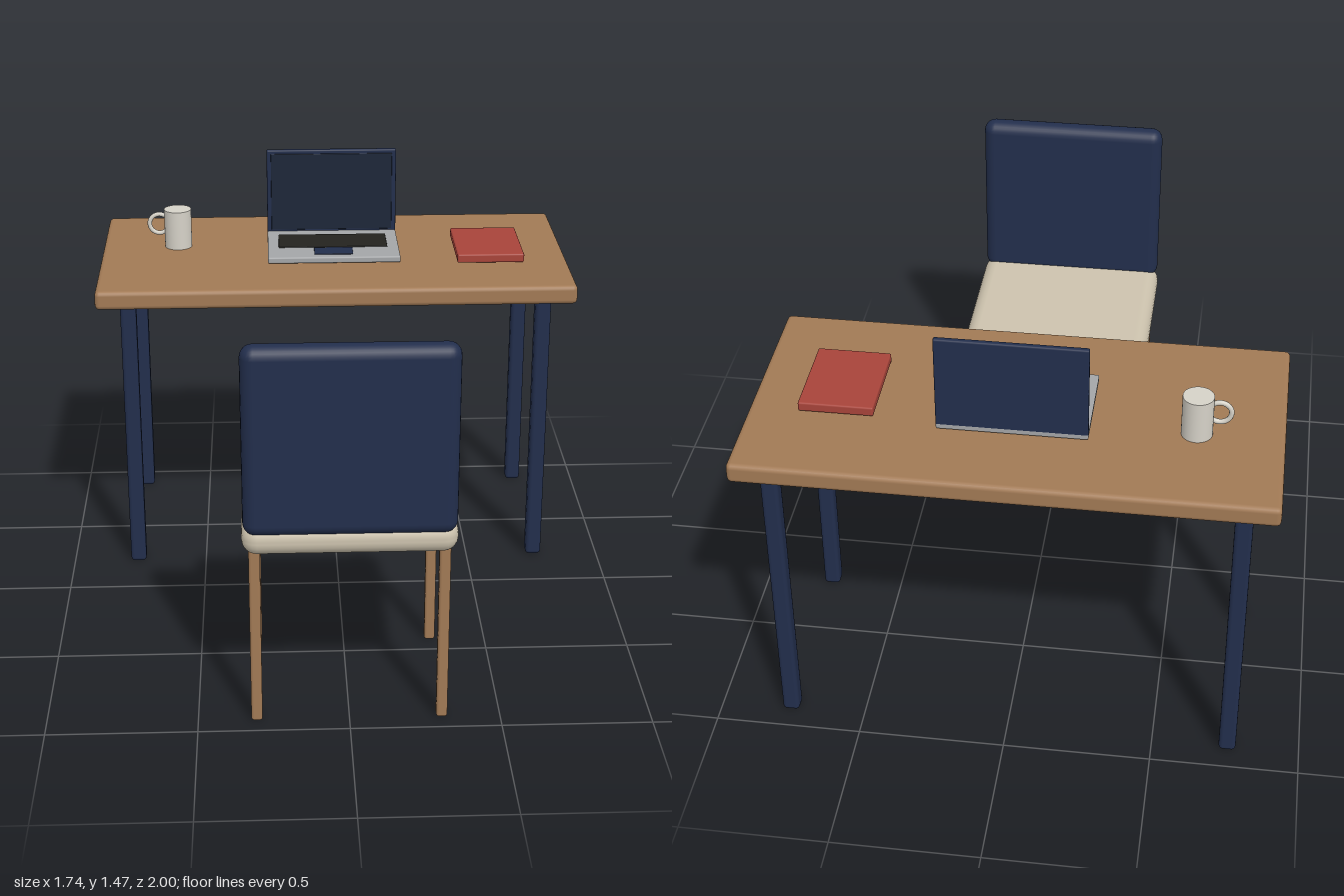
import * as THREE from 'three';
import { RoundedBoxGeometry } from 'three/addons/geometries/RoundedBoxGeometry.js';

const paint = (color) => {
  const m = new THREE.MeshStandardMaterial();
  m.color.set(color);
  return m;
};

export function createModel() {
  const model = new THREE.Group();
  const wood = paint(0xa27a55), navy = paint(0x222e4c), cream = paint(0xcdc3ae);
  const red = paint(0xa8443a), silver = paint(0xa4a6a8), black = paint(0x24231f);
  const white = paint(0xd6d2c8), glass = paint(0x1c2638);

  const group = (name) => {
    const g = new THREE.Group();
    g.name = name;
    model.add(g);
    return g;
  };
  const add = (parent, name, geometry, material, x, y, z) => {
    const mesh = new THREE.Mesh(geometry, material);
    mesh.name = name;
    mesh.position.set(x, y, z);
    parent.add(mesh);
    return mesh;
  };
  // Rounded block given by its extents on each axis
  const block = (parent, name, material, [x0, x1], [y0, y1], [z0, z1], radius, segments = 2) =>
    add(parent, name, new RoundedBoxGeometry(x1 - x0, y1 - y0, z1 - z0, segments, radius),
      material, (x0 + x1) / 2, (y0 + y1) / 2, (z0 + z1) / 2);
  // Four square legs, mirrored left to right
  const legs = (parent, name, material, x, zs, height, width, radius) => {
    const h = width / 2;
    for (const side of [-1, 1]) for (const z of zs)
      block(parent, name, material, [side * x - h, side * x + h], [0, height], [z - h, z + h], radius);
  };

  // Desk
  const desk = group('desk');
  block(desk, 'deskTop', wood, [-0.87, 0.87], [1.05, 1.12], [-1, -0.13], 0.017);
  legs(desk, 'deskLeg', navy, 0.757, [-0.228, -0.898], 1.052, 0.058, 0.014);

  // Chair
  const chair = group('chair');
  block(chair, 'seat', cream, [-0.346, 0.346], [0.625, 0.733], [0.335, 0.987], 0.05, 3);
  block(chair, 'backrest', navy, [-0.341, 0.341], [0.702, 1.344], [0.915, 1], 0.041, 3);
  legs(chair, 'chairLeg', wood, 0.306, [0.416, 0.924], 0.64, 0.037, 0.009);

  // Laptop
  const laptop = group('laptop');
  block(laptop, 'laptopBase', silver, [-0.246, 0.246], [1.126, 1.15], [-0.732, -0.398], 0.006);
  block(laptop, 'keyboard', black, [-0.205, 0.203], [1.147, 1.153], [-0.66, -0.512], 0.002, 1);
  block(laptop, 'touchpad', navy, [-0.073, 0.071], [1.147, 1.153], [-0.505, -0.428], 0.002, 1);
  block(laptop, 'laptopLid', navy, [-0.246, 0.246], [1.14, 1.47], [-0.732, -0.712], 0.006);
  block(laptop, 'screen', glass, [-0.23, 0.23], [1.156, 1.455], [-0.718, -0.709], 0.002, 1);

  // Mug with a side handle
  const mug = group('mug');
  add(mug, 'mugBody', new THREE.CylinderGeometry(0.051, 0.051, 0.147, 32), white, -0.585, 1.193, -0.64);
  add(mug, 'mugHandle', new THREE.TorusGeometry(0.037, 0.0085, 10, 28), white, -0.655, 1.21, -0.64);

  // Book
  block(group('book'), 'bookCover', red, [0.456, 0.704], [1.127, 1.16], [-0.696, -0.378], 0.006);

  return model;
}
